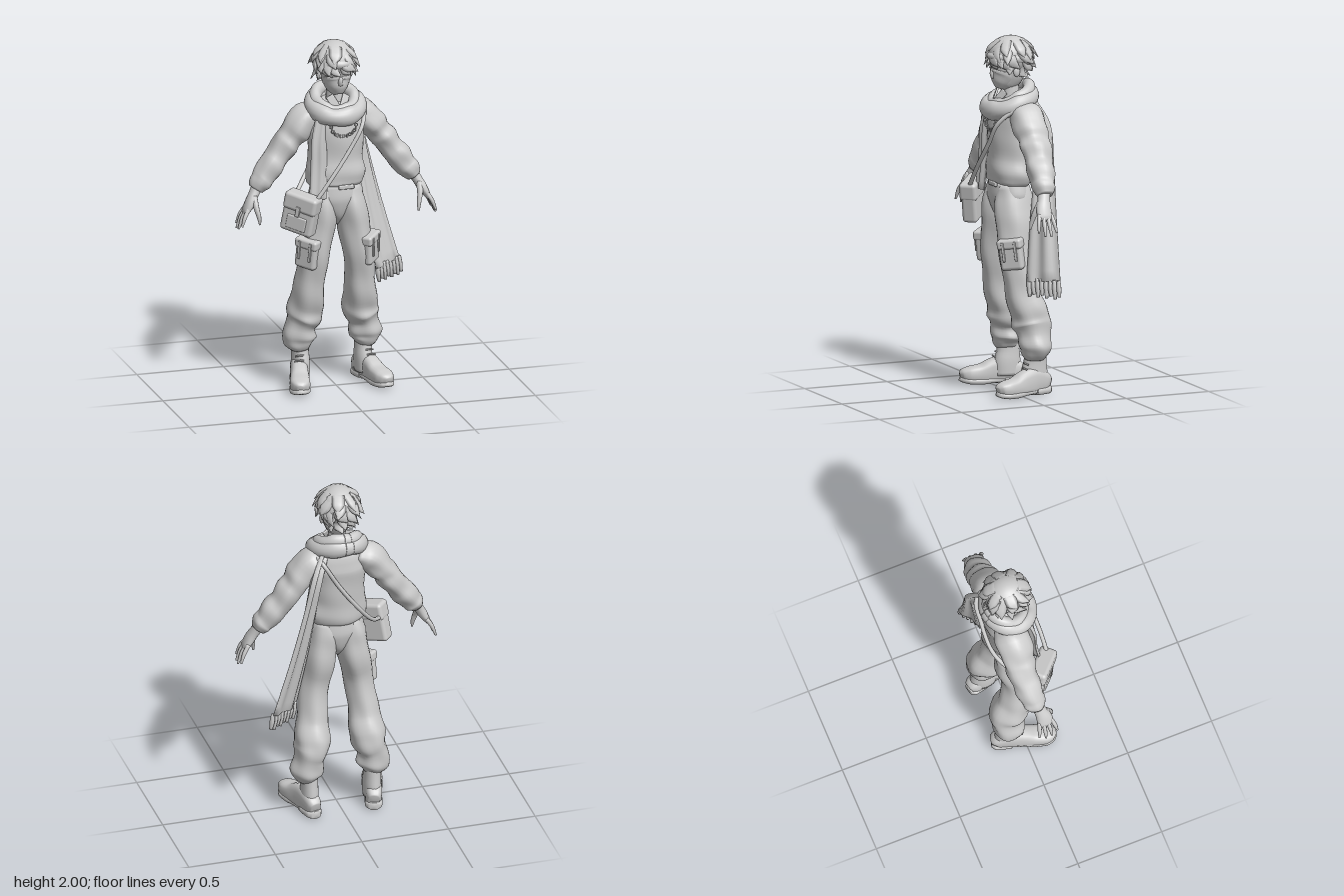
import * as THREE from 'three';
import { RoundedBoxGeometry } from 'three/addons/geometries/RoundedBoxGeometry.js';

const clay = new THREE.MeshStandardMaterial({ color: 0xcccccc });
clay.name = 'clay grey';

function add(group, name, geometry, pos = [0, 0, 0], rot = [0, 0, 0]) {
  const m = new THREE.Mesh(geometry, clay);
  m.name = name;
  m.position.set(...pos);
  m.rotation.set(...rot);
  group.add(m);
  return m;
}

// Smooth skin through rings [x, y, z, radius along ref, radius across]; fold = pleats, crease = cloth wrinkles
function loft(rings, { ref = [1, 0, 0], n = 20, steps = 4, p = 1, fold = 0, crease = 0 } = {}) {
  const centre = new THREE.CatmullRomCurve3(rings.map(r => new THREE.Vector3(r[0], r[1], r[2])));
  const radii = new THREE.CatmullRomCurve3(rings.map(r => new THREE.Vector3(r[3], r[4], 0)));
  const rows = (rings.length - 1) * steps, pos = [], idx = [];
  const pw = a => Math.sign(a) * Math.abs(a) ** p;
  for (let i = 0; i <= rows; i++) {
    const c = centre.getPoint(i / rows), r = radii.getPoint(i / rows), t = centre.getTangent(i / rows);
    const u = new THREE.Vector3(...ref);
    u.addScaledVector(t, -u.dot(t)).normalize();
    const v = t.clone().cross(u);
    for (let j = 0; j < n; j++) {
      const a = j / n * Math.PI * 2, cu = pw(Math.cos(a));
      const k = 1 + crease * Math.sin(3 * a + i * 0.55) * Math.sin(2 * a - i * 0.3);
      const q = c.clone().addScaledVector(u, Math.max(r.x, 0.001) * cu * k)
        .addScaledVector(v, Math.max(r.y, 0.001) * pw(Math.sin(a)) * k + fold * Math.sin(cu * 6));
      pos.push(q.x, q.y, q.z);
    }
  }
  for (let i = 0; i < rows; i++) for (let j = 0; j < n; j++) {
    const a = i * n + j, b = i * n + (j + 1) % n;
    idx.push(a, b, a + n, b, b + n, a + n);
  }
  for (const [row, flip] of [[0, true], [rows, false]]) {
    const k = pos.length / 3, c = centre.getPoint(row / rows);
    pos.push(c.x, c.y, c.z);
    for (let j = 0; j < n; j++) {
      const a = row * n + j, b = row * n + (j + 1) % n;
      flip ? idx.push(k, b, a) : idx.push(k, a, b);
    }
  }
  const g = new THREE.BufferGeometry();
  g.setAttribute('position', new THREE.Float32BufferAttribute(pos, 3));
  g.setIndex(idx);
  g.computeVertexNormals();
  return g;
}

const tube = (pts, r, seg = 60) => new THREE.TubeGeometry(
  new THREE.CatmullRomCurve3(pts.map(q => new THREE.Vector3(...q))), seg, r, 8);
const mirror = (s, rings) => rings.map(([x, ...rest]) => [s * x, ...rest]);

let seed = 11;
const rand = () => (seed = (seed * 16807) % 2147483647) / 2147483647;

function buildHead(g) {
  add(g, 'face', loft([[0, 1.7, 0.035, 0.025, 0.025], [0, 1.73, 0.018, 0.056, 0.07], [0, 1.78, -0.005, 0.08, 0.094],
    [0, 1.84, -0.015, 0.09, 0.104], [0, 1.91, -0.02, 0.09, 0.104], [0, 1.97, -0.02, 0.05, 0.06]]));
  // mask over the lower face, rising over the nose
  add(g, 'faceMask', loft([[0, 1.7, 0.04, 0.026, 0.028], [0, 1.735, 0.028, 0.056, 0.066],
    [0, 1.775, 0.01, 0.077, 0.086], [0, 1.8, 0.005, 0.08, 0.09]]));
  add(g, 'nose', loft([[0, 1.825, 0.082, 0.008, 0.008], [0, 1.79, 0.088, 0.014, 0.014], [0, 1.765, 0.082, 0.014, 0.012]], { n: 10 }));
  for (const s of [1, -1]) {
    add(g, 'ear', new THREE.SphereGeometry(0.022, 12, 8), [s * 0.09, 1.805, -0.02]).scale.set(0.5, 1.3, 0.9);
    add(g, 'eyebrow', tube([[s * 0.02, 1.828, 0.086], [s * 0.045, 1.836, 0.08], [s * 0.066, 1.828, 0.062]], 0.004, 8));
  }
  // hair: a cap covered with rows of swept pointed locks [count, root height, tip height, reach]
  const C = [-0.005, 1.885, -0.025], R = [0.115, 0.11, 0.125];
  add(g, 'hairCap', new THREE.SphereGeometry(1, 24, 16), C).scale.set(...R);
  const rows = [[7, 0.09, 0.015, 1.17], [10, 0.07, -0.02, 1.2], [11, 0.03, -0.055, 1.18], [12, 0, -0.085, 1.08], [11, -0.04, -0.12, 0.88]];
  rows.forEach(([count, rootY, tipY, out], k) => {
    for (let i = 0; i < count; i++) {
      const az = (i + 0.5 * (k % 2)) / count * Math.PI * 2 + (rand() - 0.5) * 0.4;
      const cz = Math.cos(az);
      if (k === 4 && cz > 0.1) continue;
      const drop = (cz > 0.55 ? Math.max(tipY, -0.06) : tipY) - (rand() - 0.4) * 0.04, o = out + (rand() - 0.5) * 0.16;
      const at = (y, f, tw) => [C[0] + Math.sin(az + tw) * R[0] * f, C[1] + y, C[2] + Math.cos(az + tw) * R[2] * f];
      const midY = rootY * 0.5 + drop * 0.5, shell = y => Math.sqrt(1 - Math.min(1, (y / R[1]) ** 2));
      const rf = shell(rootY) * 0.9, mid = Math.min(1.02, shell(midY) + 0.02), tw = 0.2 + (rand() - 0.5) * 0.7, w = 0.024 + rand() * 0.014;
      add(g, 'hairLock', loft([[...at(rootY, rf, 0), w, 0.006], [...at(midY, mid, tw * 0.3), w, 0.009],
        [...at(drop, o, tw), 0.001, 0.001]], { ref: [cz, 0, -Math.sin(az)], n: 6, steps: 3 }));
    }
  });
}

function buildTorso(g) {
  add(g, 'jacket', loft([[0, 1.165, -0.01, 0.14, 0.1], [0, 1.185, -0.012, 0.16, 0.113], [0, 1.24, -0.015, 0.17, 0.12],
    [0, 1.32, -0.02, 0.155, 0.118], [0, 1.42, -0.025, 0.158, 0.126], [0, 1.52, -0.03, 0.165, 0.13],
    [0, 1.6, -0.04, 0.15, 0.112], [0, 1.66, -0.035, 0.075, 0.075]], { n: 32, crease: 0.03 }));
  add(g, 'neck', new THREE.CylinderGeometry(0.046, 0.055, 0.14, 16), [0, 1.7, -0.02]);
  add(g, 'trouserSeat', loft([[0, 0.94, -0.01, 0.012, 0.03], [0, 0.99, -0.01, 0.05, 0.075], [0, 1.05, -0.01, 0.115, 0.1],
    [0, 1.11, -0.01, 0.155, 0.111], [0, 1.18, -0.01, 0.142, 0.105]], { n: 28 }));
  add(g, 'belt', new RoundedBoxGeometry(0.09, 0.025, 0.016, 2, 0.006), [0.03, 1.176, 0.097]);
  // chain on the chest
  for (let i = 0; i <= 12; i++) {
    const a = i / 12 * Math.PI;
    add(g, 'chainLink', new THREE.TorusGeometry(0.008, 0.003, 6, 10),
      [0.012 - Math.cos(a) * 0.072, 1.535 - Math.sin(a) * 0.06, 0.106], [0, i % 2, a]);
  }
  for (const s of [1, -1]) add(g, 'shirtCollar', new RoundedBoxGeometry(0.045, 0.075, 0.012, 2, 0.005),
    [s * 0.034, 1.665, 0.052], [-0.4, s * 0.4, s * -0.45]);
}

function buildArm(g, s) {
  const ref = [0, 0, 1];
  add(g, 'sleeve', loft(mirror(s, [[0.09, 1.58, -0.05, 0.08, 0.05], [0.16, 1.555, -0.05, 0.098, 0.084], [0.22, 1.49, -0.05, 0.096, 0.082],
    [0.255, 1.445, -0.05, 0.086, 0.07], [0.285, 1.405, -0.05, 0.088, 0.074], [0.33, 1.34, -0.045, 0.076, 0.066],
    [0.37, 1.29, -0.04, 0.078, 0.072], [0.41, 1.235, -0.035, 0.066, 0.064], [0.435, 1.205, -0.03, 0.064, 0.06],
    [0.457, 1.172, -0.028, 0.044, 0.042]]), { ref, n: 24, crease: 0.07 }));
  add(g, 'hand', loft(mirror(s, [[0.445, 1.195, -0.025, 0.036, 0.032], [0.472, 1.15, -0.012, 0.036, 0.028], [0.497, 1.105, 0, 0.044, 0.027],
    [0.52, 1.065, 0.002, 0.046, 0.02], [0.53, 1.045, 0.002, 0.04, 0.012]]), { ref, n: 14 }));
  for (let i = 0; i < 4; i++) {
    const k = i - 1.5, len = [0.85, 1, 0.97, 0.8][i];
    add(g, 'finger', loft(mirror(s, [[0.513, 1.08, k * 0.022, 0.012, 0.013], [0.513 + 0.034 * len, 1.08 - 0.055 * len, k * 0.03 + 0.003, 0.012, 0.012],
      [0.513 + 0.058 * len, 1.08 - 0.12 * len, k * 0.036 + 0.003, 0.006, 0.006]]), { ref, n: 8 }));
  }
  add(g, 'thumb', loft(mirror(s, [[0.478, 1.14, 0.01, 0.022, 0.02], [0.472, 1.08, 0.042, 0.017, 0.016],
    [0.462, 1.035, 0.056, 0.013, 0.013], [0.458, 0.99, 0.064, 0.006, 0.006]]), { ref, n: 8 }));
}

function buildLeg(g, s) {
  add(g, 'trouserLeg', loft(mirror(s, [[0.07, 1.17, -0.01, 0.06, 0.09], [0.08, 1.07, -0.01, 0.084, 0.112], [0.096, 0.95, -0.01, 0.09, 0.115],
    [0.122, 0.8, 0, 0.084, 0.1], [0.14, 0.66, -0.012, 0.082, 0.092], [0.15, 0.55, -0.035, 0.088, 0.098], [0.157, 0.46, -0.065, 0.1, 0.105],
    [0.165, 0.4, -0.078, 0.098, 0.112], [0.182, 0.34, -0.082, 0.082, 0.094], [0.19, 0.28, -0.085, 0.095, 0.09],
    [0.19, 0.24, -0.085, 0.082, 0.08], [0.185, 0.205, -0.085, 0.05, 0.06]]), { n: 28, crease: 0.06 }));
  // cargo pocket with flap and two straps
  const pocket = new THREE.Group();
  pocket.name = 'cargoPocket';
  pocket.position.set(s * 0.178, 0.8, 0.05);
  pocket.rotation.set(0.06, s * 0.85, s * 0.08);
  add(pocket, 'pocketBody', new RoundedBoxGeometry(0.13, 0.165, 0.07, 3, 0.02), [0, -0.005, 0]);
  add(pocket, 'pocketFlap', new RoundedBoxGeometry(0.14, 0.055, 0.08, 3, 0.015), [0, 0.06, 0.002]);
  for (const x of [-0.035, 0.035]) add(pocket, 'pocketStrap', new RoundedBoxGeometry(0.016, 0.11, 0.01, 2, 0.004), [x, 0.02, 0.041]);
  g.add(pocket);
  // boot, turned out at the toe
  add(g, 'bootShaft', loft(mirror(s, [[0.185, 0.25, -0.09, 0.05, 0.062], [0.182, 0.19, -0.09, 0.048, 0.066], [0.18, 0.12, -0.085, 0.05, 0.078],
    [0.18, 0.05, -0.085, 0.048, 0.078]])));
  const foot = rings => loft(rings.map(([z, y, a, b]) => [s * (0.168 + (z + 0.17) * 0.26), y, z, a, b]), { p: 0.7 });
  add(g, 'bootFoot', foot([[-0.172, 0.055, 0.03, 0.04], [-0.145, 0.065, 0.045, 0.06], [-0.07, 0.08, 0.049, 0.078], [-0.01, 0.073, 0.05, 0.07],
    [0.05, 0.06, 0.055, 0.053], [0.11, 0.057, 0.057, 0.044], [0.15, 0.055, 0.042, 0.033], [0.168, 0.05, 0.016, 0.018]]));
  add(g, 'bootHeel', foot([[-0.18, 0.024, 0.028, 0.022], [-0.155, 0.024, 0.048, 0.024], [-0.09, 0.024, 0.05, 0.024], [-0.07, 0.024, 0.048, 0.022]]));
  add(g, 'bootSole', foot([[-0.08, 0.026, 0.044, 0.014], [0, 0.024, 0.049, 0.018],
    [0.06, 0.022, 0.058, 0.022], [0.115, 0.023, 0.058, 0.02], [0.152, 0.028, 0.042, 0.016], [0.17, 0.034, 0.016, 0.012]]));
  for (let i = 0; i < 4; i++) {
    const y = 0.126 + i * 0.025, z = 0.01 - i * 0.012, x = 0.212 - i * 0.009;
    add(g, 'bootLace', tube([[s * (x - 0.03), y, z - 0.02], [s * x, y + 0.007, z - 0.006], [s * (x + 0.03), y, z - 0.02]], 0.005, 8));
  }
}

function buildScarf(g) {
  // two loops, low at the front and high at the back, their ends overlapping behind the neck
  const loop = (rx, rz, yFront, yBack, cz, r) => {
    const rings = [];
    for (let i = 0; i <= 17; i++) {
      const a = (i / 16 + 0.5) * Math.PI * 2, k = (1 - Math.cos(a)) / 2;
      rings.push([Math.sin(a) * rx, yFront + (yBack - yFront) * k, cz + Math.cos(a) * rz, r * 1.15 + 0.005 * Math.sin(a * 5), r]);
    }
    return loft(rings, { ref: [0, 1, 0], n: 18, steps: 3 });
  };
  add(g, 'scarfOuterLoop', loop(0.13, 0.118, 1.585, 1.665, -0.015, 0.045));
  add(g, 'scarfInnerLoop', loop(0.11, 0.1, 1.61, 1.708, -0.025, 0.034));
  add(g, 'scarfFrontTail', loft([[-0.1, 1.585, 0.06, 0.035, 0.02], [-0.122, 1.45, 0.08, 0.045, 0.014],
    [-0.125, 1.3, 0.083, 0.048, 0.014], [-0.135, 1.12, 0.1, 0.05, 0.012]], { fold: 0.006, n: 32 }));
  // long tail hanging behind the left hip
  const ref = [0.82, 0, -0.57];
  add(g, 'scarfLongTail', loft([[0.105, 1.62, -0.11, 0.03, 0.02], [0.155, 1.5, -0.15, 0.045, 0.024], [0.19, 1.3, -0.142, 0.06, 0.018],
    [0.245, 1.0, -0.112, 0.083, 0.016], [0.32, 0.66, -0.078, 0.108, 0.014]], { ref, fold: 0.008, n: 40, steps: 6 }));
  for (let i = 0; i < 8; i++) {
    const k = (i / 7 - 0.5) * 0.19, x = 0.324 + k * 0.84, z = -0.078 - k * 0.57;
    add(g, 'fringe', loft([[x, 0.675, z, 0.01, 0.01], [x + 0.004, 0.63, z, 0.014, 0.015],
      [x + 0.012, 0.57 + (i % 2) * 0.012, z, 0.008, 0.01]], { ref, n: 8 }));
  }
}

function buildBag(g) {
  add(g, 'bagStrap', tube([[-0.16, 1.13, 0.155], [-0.07, 1.25, 0.15], [0.04, 1.4, 0.13], [0.12, 1.53, 0.105], [0.16, 1.62, -0.02],
    [0.12, 1.59, -0.15], [0.03, 1.44, -0.16], [-0.1, 1.26, -0.14], [-0.19, 1.15, -0.07], [-0.27, 1.09, 0.04]], 0.012));
  const bag = new THREE.Group();
  bag.name = 'shoulderBag';
  bag.position.set(-0.232, 1.045, 0.095);
  bag.rotation.set(0, -0.75, -0.2);
  add(bag, 'bagBody', new RoundedBoxGeometry(0.195, 0.22, 0.085, 3, 0.02));
  add(bag, 'bagFlap', new RoundedBoxGeometry(0.2, 0.1, 0.1, 3, 0.02), [0, 0.07, 0.002]);
  add(bag, 'bagPocket', new RoundedBoxGeometry(0.12, 0.08, 0.02, 3, 0.008), [0, -0.045, 0.04]);
  add(bag, 'bagBuckle', new RoundedBoxGeometry(0.025, 0.06, 0.012, 2, 0.004), [0, 0.025, 0.052]);
  g.add(bag);
}

export function createModel() {
  const model = new THREE.Group();
  model.name = 'scarfTraveller';
  const part = (name, build, ...args) => {
    const g = new THREE.Group();
    g.name = name;
    build(g, ...args);
    model.add(g);
  };
  part('head', buildHead);
  part('torso', buildTorso);
  for (const [side, s] of [['left', 1], ['right', -1]]) {
    part(side + 'Arm', buildArm, s);
    part(side + 'Leg', buildLeg, s);
  }
  part('scarf', buildScarf);
  part('bag', buildBag);
  return model;
}
